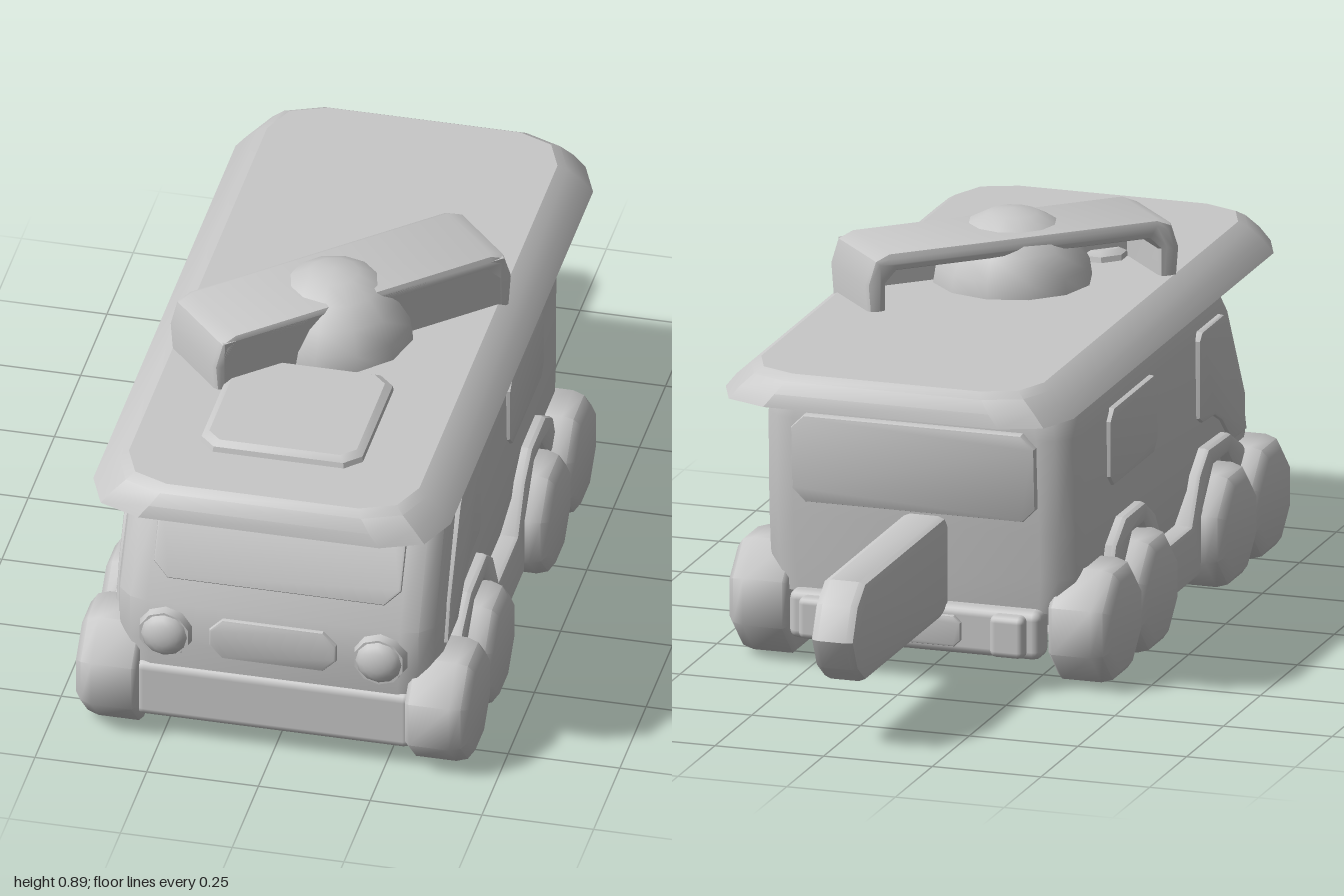
import * as THREE from 'three';
import { toCreasedNormals } from 'three/addons/utils/BufferGeometryUtils.js';
import { RoundedBoxGeometry } from 'three/addons/geometries/RoundedBoxGeometry.js';

// Loft through rounded rectangles: levels of [y, halfWidth, zFront, zBack, cornerRadius]
function loft(levels, { crease = 0.6, seg = 3, openBottom = false } = {}) {
  const pos = [], idx = [], n = 4 * (seg + 1);
  for (const [y, hw, zf, zb, r] of levels) {
    const corners = [[hw - r, zf - r], [-hw + r, zf - r], [-hw + r, zb + r], [hw - r, zb + r]];
    corners.forEach(([cx, cz], c) => {
      for (let k = 0; k <= seg; k++) {
        const a = (c + k / seg) * Math.PI / 2;
        pos.push(cx + r * Math.cos(a), y, cz + r * Math.sin(a));
      }
    });
  }
  const last = levels.length - 1;
  for (let l = 0; l < last; l++) for (let i = 0; i < n; i++) {
    const a = l * n + i, b = l * n + (i + 1) % n;
    idx.push(a, a + n, b, b, a + n, b + n);
  }
  for (const l of openBottom ? [last] : [0, last]) {
    const c = pos.length / 3;
    pos.push(0, levels[l][0], (levels[l][2] + levels[l][3]) / 2);
    for (let i = 0; i < n; i++) {
      const a = l * n + i, b = l * n + (i + 1) % n;
      if (l) idx.push(c, b, a); else idx.push(c, a, b);
    }
  }
  const g = new THREE.BufferGeometry();
  g.setAttribute('position', new THREE.Float32BufferAttribute(pos, 3));
  g.setIndex(idx);
  return toCreasedNormals(g, crease);
}

// Bevelled plate from an outline, centred on its own thickness
function plate(points, depth, bevel) {
  const shape = new THREE.Shape(points.map(([x, y]) => new THREE.Vector2(x, y)));
  const g = new THREE.ExtrudeGeometry(shape, {
    depth: depth - 2 * bevel, bevelThickness: bevel, bevelSize: bevel, bevelOffset: -bevel, bevelSegments: 2,
  });
  g.translate(0, 0, bevel - depth / 2);
  return toCreasedNormals(g, 0.6);
}

// The same, with the outline given as (z, y) and the thickness along x
const sidePlate = (points, depth, bevel) => plate(points, depth, bevel).rotateY(-Math.PI / 2);

// Rectangle with cut corners
function cutRect(w, h, c) {
  const x = w / 2, y = h / 2;
  return [[-x + c, -y], [x - c, -y], [x, -y + c], [x, y - c], [x - c, y], [-x + c, y], [-x, y - c], [-x, -y + c]];
}

export function createModel() {
  const model = new THREE.Group();
  // Double-sided because the body shell is open underneath
  const grey = new THREE.MeshStandardMaterial({ color: 0xc8c8c8, side: THREE.DoubleSide });
  grey.name = 'light grey';
  const add = (name, geometry, x = 0, y = 0, z = 0, parent = model) => {
    const m = new THREE.Mesh(geometry, grey);
    m.name = name;
    m.position.set(x, y, z);
    parent.add(m);
    return m;
  };

  // Van body shell with sloping front
  add('body', loft([
    [0.17, 0.345, 0.855, -0.355, 0.07],
    [0.25, 0.362, 0.86, -0.362, 0.08],
    [0.35, 0.363, 0.858, -0.37, 0.08],
    [0.57, 0.36, 0.745, -0.385, 0.08],
    [0.62, 0.35, 0.715, -0.38, 0.08],
    [0.67, 0.32, 0.675, -0.365, 0.07],
  ], { openBottom: true }));

  // Overhanging roof and its hatch
  add('roof', loft([
    [0.66, 0.40, 1.0, -0.615, 0.13],
    [0.69, 0.376, 0.995, -0.61, 0.13],
    [0.717, 0.345, 0.98, -0.595, 0.12],
    [0.73, 0.325, 0.96, -0.575, 0.11],
  ], { crease: 0.42, seg: 2 }));
  add('roofHatch', loft([
    [0.72, 0.183, 0.815, 0.447, 0.035],
    [0.742, 0.18, 0.81, 0.452, 0.035],
    [0.752, 0.165, 0.795, 0.467, 0.03],
  ], { crease: 0.42, seg: 1 }));

  // Rotor: dome hub and an arched bar, walled in along its front edge
  add('rotorHub', new THREE.SphereGeometry(0.18, 12, 5, 0, Math.PI * 2, 0, Math.PI / 2), 0, 0.71, 0.28);
  const rotor = new THREE.Group();
  rotor.name = 'rotor';
  rotor.position.set(0.008, 0, 0.25);
  rotor.rotation.y = 0.745;
  model.add(rotor);
  add('rotorBar', plate([
    [-0.36, 0.63], [-0.373, 0.79], [-0.355, 0.845], [-0.32, 0.86],
    [0.32, 0.86], [0.355, 0.845], [0.373, 0.79], [0.36, 0.63],
    [0.325, 0.63], [0.325, 0.79], [0.30, 0.815], [-0.30, 0.815], [-0.325, 0.79], [-0.325, 0.63],
  ], 0.21, 0.015), 0, 0, 0, rotor);
  add('rotorWall', new THREE.BoxGeometry(0.70, 0.13, 0.03), 0, 0.78, 0.09, rotor);

  // Windows
  const windscreen = add('windscreen', plate(cutRect(0.555, 0.212, 0.035), 0.03, 0.006), 0, 0.49, 0.776);
  windscreen.rotation.x = -0.465;
  const rearWindow = add('rearWindow', plate(cutRect(0.56, 0.2, 0.03), 0.04, 0.006), 0, 0.485, -0.378);
  rearWindow.rotation.x = -0.06;
  const cabOutline = [[0.775, 0.285], [0.75, 0.375], [0.65, 0.565], [0.62, 0.587], [0.475, 0.587],
    [0.457, 0.57], [0.457, 0.395], [0.48, 0.38], [0.56, 0.375], [0.61, 0.35], [0.68, 0.285]];
  for (const s of [1, -1]) {
    add('cabWindow', sidePlate(cabOutline, 0.04, 0.006), s * 0.352);
    add('sideWindow', sidePlate(cutRect(0.32, 0.175, 0.025), 0.04, 0.006), s * 0.351, 0.4925, 0.015);
  }

  // Nose: grille, headlights, bumper
  add('grille', plate(cutRect(0.285, 0.1, 0.03), 0.05, 0.006), 0, 0.28, 0.843);
  const rimGeo = toCreasedNormals(new THREE.CylinderGeometry(0.057, 0.066, 0.04, 10).rotateX(Math.PI / 2), 0.7);
  const lampGeo = new THREE.SphereGeometry(0.054, 12, 5, 0, Math.PI * 2, 0, Math.PI / 2)
    .scale(1, 0.6, 1).rotateX(Math.PI / 2);
  for (const s of [1, -1]) {
    add('headlightRim', rimGeo, s * 0.24, 0.28, 0.858);
    add('headlight', lampGeo, s * 0.24, 0.28, 0.868);
  }
  add('frontBumper', new RoundedBoxGeometry(0.62, 0.14, 0.11, 2, 0.02), 0, 0.122, 0.81);

  // Eight-sided wheels, in pairs under each fender
  const wheelGeo = toCreasedNormals(new THREE.LatheGeometry([
    [0, -0.07], [0.128, -0.07], [0.138, -0.06], [0.138, 0.03], [0.13, 0.055], [0.108, 0.07], [0, 0.07],
  ].map(([r, y]) => new THREE.Vector2(r, y)), 8), 0.85).rotateY(Math.PI / 8).rotateZ(-Math.PI / 2);
  // Fenders joined by a sill
  const skirt = [[0.78, 0.2], [0.70, 0.275], [0.62, 0.32], [0.47, 0.325], [0.41, 0.28], [0.355, 0.18],
    [0.175, 0.18], [0.11, 0.28], [0.04, 0.325], [-0.09, 0.325], [-0.16, 0.28], [-0.19, 0.2],
    [-0.12, 0.2], [-0.05, 0.28], [0.03, 0.28], [0.1, 0.2], [0.12, 0.055],
    [0.415, 0.055], [0.43, 0.2], [0.5, 0.28], [0.6, 0.28], [0.68, 0.2]];
  for (const s of [1, -1]) {
    for (const z of [0.765, 0.535, 0.0, -0.243]) {
      const wheel = add('wheel', wheelGeo, s * 0.37, 0.137, z);
      if (s < 0) wheel.rotation.y = Math.PI;
    }
    add('fenderAndSill', sidePlate(skirt, 0.08, 0.012), s * 0.35);
  }

  // Rear bumper with lamps and number plate panel
  add('rearBumper', new RoundedBoxGeometry(0.58, 0.11, 0.07, 2, 0.02), 0, 0.125, -0.355);
  for (const s of [1, -1]) {
    add('rearLamp', new RoundedBoxGeometry(0.08, 0.095, 0.05, 2, 0.015), s * 0.22, 0.125, -0.39);
  }
  add('rearPanel', plate(cutRect(0.22, 0.07, 0.015), 0.03, 0.005), 0, 0.125, -0.385);

  // Rear blade
  add('rearBlade', sidePlate([[-0.35, 0.15], [-0.35, 0.375], [-0.91, 0.375], [-0.965, 0.335], [-1, 0.26],
    [-0.965, 0.19], [-0.91, 0.15]], 0.105, 0.02), -0.018);

  // Turntable underneath, on two crossed square plates
  add('turntable', toCreasedNormals(new THREE.CylinderGeometry(0.26, 0.26, 0.18, 16), 0.6), 0, 0.1, 0.29);
  for (const turn of [0, 0.5]) {
    const base = add('turntablePlate', new THREE.BoxGeometry(0.52, 0.004, 0.52), 0, 0.009 - turn * 0.004, 0.29);
    base.rotation.y = turn;
  }
  add('turntablePin', new THREE.CylinderGeometry(0.065, 0.06, 0.01, 10), 0, 0.005, 0.29);
  return model;
}
